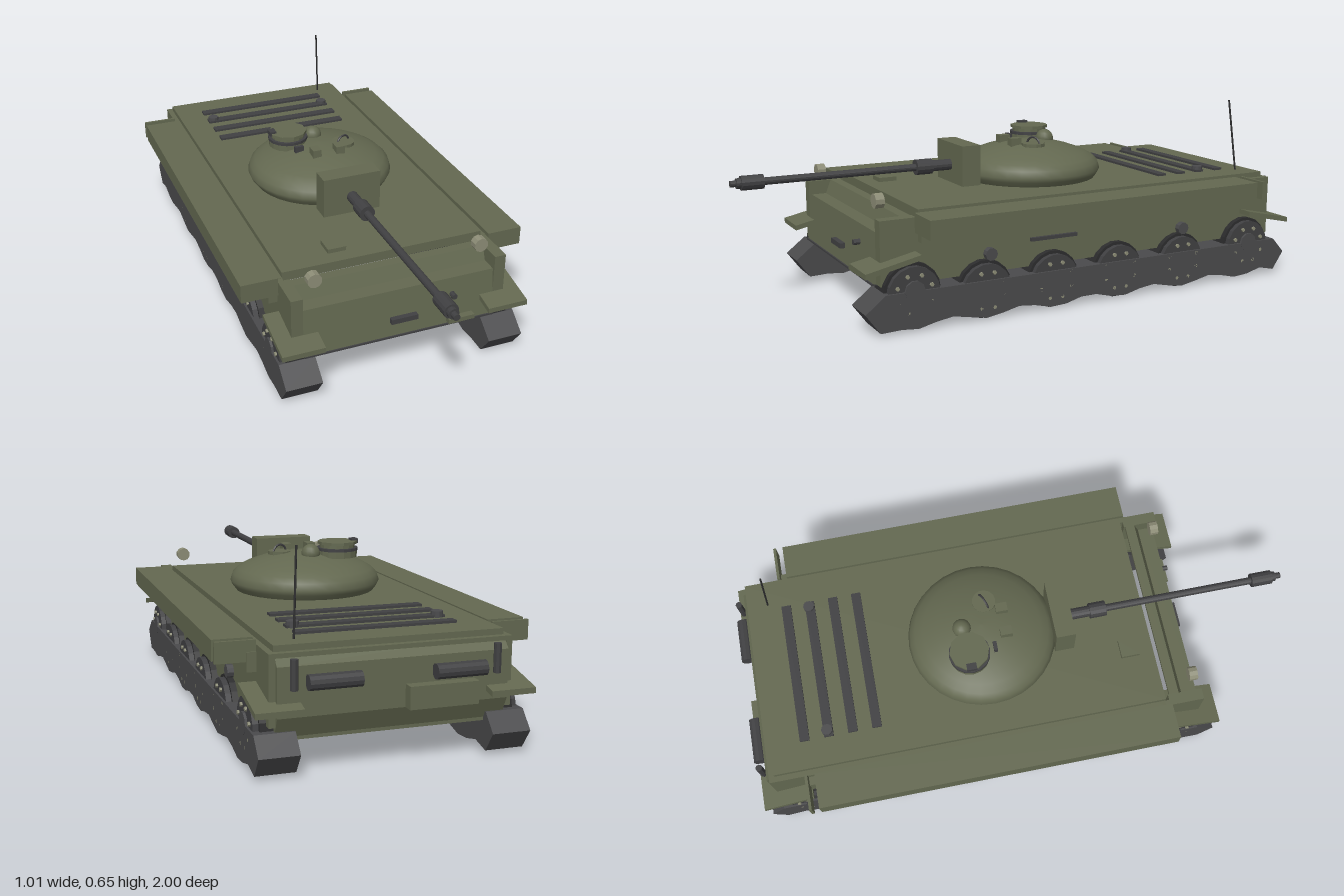
import * as THREE from 'three';

const material = (color, flat = true) =>
  new THREE.MeshStandardMaterial({ color, flatShading: flat, side: THREE.DoubleSide });
const OLIVE = material(0x636850), SMOOTH = material(0x636850, false);
const DARK = material(0x404042), TRACK = material(0x4a4a4c), BLACK = material(0x2c2c2d);
const LAMP = material(0x8c8c76);

export function createModel() {
  const tank = new THREE.Group();
  tank.name = 'tank';

  const add = (name, geometry, mat, x = 0, y = 0, z = 0, parent = tank) => {
    const mesh = new THREE.Mesh(geometry, mat);
    mesh.name = name;
    mesh.position.set(x, y, z);
    parent.add(mesh);
    return mesh;
  };
  // Box given by its limits on each axis
  const box = (name, [x0, x1], [y0, y1], [z0, z1], mat = OLIVE, parent = tank) =>
    add(name, new THREE.BoxGeometry(x1 - x0, y1 - y0, z1 - z0), mat,
      (x0 + x1) / 2, (y0 + y1) / 2, (z0 + z1) / 2, parent);
  // Cylinder along a chosen axis
  const cyl = (name, axis, r, len, x, y, z, mat = DARK, sides = 12, parent = tank) => {
    const g = new THREE.CylinderGeometry(r, r, len, sides);
    if (axis === 'x') g.rotateZ(Math.PI / 2);
    if (axis === 'z') g.rotateX(Math.PI / 2);
    return add(name, g, mat, x, y, z, parent);
  };
  // Outline of [z, y] points extruded between two x limits
  const slab = (name, points, x0, x1, mat = OLIVE, parent = tank) => {
    const shape = new THREE.Shape(points.map(([z, y]) => new THREE.Vector2(-z, y)));
    const g = new THREE.ExtrudeGeometry(shape, { depth: x1 - x0, bevelEnabled: false });
    g.rotateY(Math.PI / 2);
    return add(name, g, mat, x0, 0, 0, parent);
  };

  // Hull: open underneath
  box('deck', [-0.36, 0.36], [0.365, 0.385], [-0.92, 0.49]);
  box('deckEdge', [-0.38, 0.38], [0.352, 0.366], [-0.94, 0.49]);
  slab('rearPlate', [[-0.92, 0.366], [-0.955, 0.33], [-0.955, 0.18], [-0.92, 0.105],
    [-0.905, 0.105], [-0.935, 0.18], [-0.935, 0.32], [-0.91, 0.355]], -0.36, 0.36);
  box('rearLowerPlate', [-0.3, 0.3], [0.105, 0.15], [-0.925, -0.905]);
  // Stepped front made from thin plates
  slab('frontPlate', [[0.51, 0.365], [0.545, 0.365], [0.565, 0.315], [0.62, 0.315], [0.64, 0.15],
    [0.622, 0.15], [0.605, 0.302], [0.552, 0.302], [0.535, 0.352], [0.51, 0.352]], -0.34, 0.34);
  box('frontLowerLip', [-0.34, 0.34], [0.146, 0.152], [0.6, 0.645], DARK);
  box('towSlot', [-0.04, 0.055], [0.203, 0.221], [0.625, 0.65], DARK);
  box('frontStep', [0.165, 0.26], [0.16, 0.176], [0.63, 0.66]);
  cyl('frontPort', 'z', 0.01, 0.03, 0.187, 0.256, 0.635, DARK, 8);

  // Parts repeated on both sides
  for (const s of [1, -1]) {
    const side = new THREE.Group();
    side.name = s > 0 ? 'leftSide' : 'rightSide';
    tank.add(side);
    const sbox = (name, xs, ys, zs, mat) =>
      box(name, s > 0 ? xs : [-xs[1], -xs[0]], ys, zs, mat, side);
    const sslab = (name, pts, x0, x1, mat) =>
      slab(name, pts, s > 0 ? x0 : -x1, s > 0 ? x1 : -x0, mat, side);
    const scyl = (name, axis, r, len, x, y, z, mat, sides) =>
      cyl(name, axis, r, len, s * x, y, z, mat, sides, side);

    sbox('sideWall', [0.36, 0.38], [0.15, 0.365], [-0.94, 0.51]);
    sbox('frontCheek', [0.34, 0.38], [0.15, 0.365], [0.505, 0.63]);
    sbox('fender', [0.38, 0.505], [0.315, 0.38], [-0.78, 0.51]);
    sbox('fenderRail', [0.38, 0.41], [0.285, 0.345], [-0.82, 0.5]);
    sbox('fenderEndPlate', [0.38, 0.505], [0.315, 0.38], [-0.815, -0.805]);
    sslab('frontMudguard', [[0.51, 0.255], [0.7, 0.215], [0.7, 0.197], [0.51, 0.238]], 0.29, 0.435);
    sslab('rearMudguard', [[-0.81, 0.255], [-0.81, 0.238], [-0.995, 0.197], [-0.995, 0.215]], 0.29, 0.435);
    sbox('sideBar', [0.38, 0.392], [0.238, 0.25], [-0.09, 0.09], DARK);
    sbox('sideBox', [0.38, 0.392], [0.29, 0.33], [-0.575, -0.465]);
    for (const z of [0.245, -0.535]) scyl('sidePort', 'x', 0.022, 0.03, 0.386, 0.215, z, TRACK, 10);

    // Headlamp, exhaust pipe, rear post and filler cap
    scyl('headlamp', 'z', 0.025, 0.03, 0.293, 0.412, 0.6, LAMP, 10);
    scyl('exhaust', 'x', 0.024, 0.16, 0.195, 0.285, -0.975, DARK, 12);
    scyl('rearPost', 'y', 0.012, 0.09, 0.315, 0.31, -0.972, DARK, 8);
    scyl('fillerCap', 'y', 0.02, 0.02, 0.238, 0.395, -0.712, TRACK, 10);

    // Track: solid block with a scalloped tread
    const tread = [[-0.94, 0.135], [-0.99, 0.08], [-0.945, 0.015]];
    for (let i = 0; i <= 24; i++) {
      const z = -0.88 + i * 0.06083;
      tread.push([z, 0.02 - 0.012 * Math.cos((z - 0.01) / 0.262 * Math.PI * 2)]);
    }
    tread.push([0.65, 0.012], [0.7, 0.08], [0.63, 0.135]);
    sslab('track', tread, 0.3, 0.425, TRACK);

    // Wheels: the end ones sit higher
    const wheels = [0.53, 0.27, 0.01, -0.25, -0.52, -0.82];
    wheels.forEach((z, i) => {
      const end = i === 0 || i === 5;
      const y = end ? 0.125 : 0.1;
      scyl('wheelTyre', 'x', 0.1, 0.08, 0.36, y, z, BLACK, 18);
      scyl('wheelDisc', 'x', 0.09, 0.112, 0.362, y, z, DARK, 18);
      if (end) scyl('wheelHub', 'x', 0.035, 0.128, 0.362, y + 0.01, z, TRACK, 10);
      for (let k = 0; k < 8; k++) {
        const a = (k + 0.5) * Math.PI / 4;
        scyl('wheelBolt', 'x', 0.007, 0.01, 0.42, y + 0.064 * Math.sin(a), z + 0.064 * Math.cos(a), LAMP, 6);
      }
    });
  }

  // Deck fittings
  for (let i = 0; i < 4; i++) {
    const z = -0.795 + i * 0.086;
    box('engineGrille', [-0.26, 0.26], [0.383, 0.393], [z - 0.017, z + 0.017], DARK);
  }
  box('driverHatch', [-0.18, -0.115], [0.383, 0.4], [0.37, 0.437]);
  box('rearStowageBox', [-0.25, -0.03], [0.18, 0.25], [-0.99, -0.95]);
  const whip = new THREE.LineCurve3(new THREE.Vector3(0.281, 0.38, -0.862), new THREE.Vector3(0.264, 0.652, -0.832));
  add('antenna', new THREE.TubeGeometry(whip, 1, 0.0035, 6), BLACK);

  // Turret dome
  const turret = new THREE.Group();
  turret.name = 'turret';
  turret.position.set(0, 0, -0.11);
  tank.add(turret);
  const profile = [[0.245, 0.383], [0.259, 0.402], [0.266, 0.418], [0.258, 0.442], [0.24, 0.46],
    [0.21, 0.477], [0.16, 0.495], [0.1, 0.51], [0.05, 0.517], [0, 0.519]]
    .map(([r, y]) => new THREE.Vector2(r, y));
  add('turretDome', new THREE.LatheGeometry(profile, 32), SMOOTH, 0, 0, 0, turret);
  box('mantlet', [-0.106, 0.106], [0.386, 0.53], [0.14, 0.21]);

  // Commander's cupola with hatch and ring of vision blocks
  cyl('cupolaBase', 'y', 0.07, 0.024, -0.102, 0.514, -0.17, OLIVE, 16);
  cyl('cupolaBand', 'y', 0.073, 0.01, -0.102, 0.53, -0.17, DARK, 16);
  cyl('cupolaRing', 'y', 0.062, 0.014, -0.102, 0.541, -0.17, OLIVE, 16);
  cyl('cupolaHatch', 'y', 0.07, 0.01, -0.102, 0.552, -0.17, OLIVE, 10);
  box('cupolaSight', [-0.174, -0.15], [0.548, 0.564], [-0.19, -0.155], DARK);
  add('turretVent', new THREE.SphereGeometry(0.033, 14, 10), SMOOTH, 0, 0.518, -0.18);
  for (const x of [-0.045, 0.045]) box('periscope', [x - 0.016, x + 0.016], [0.505, 0.535], [-0.05, -0.008]);
  box('turretStep', [-0.108, -0.075], [0.507, 0.53], [-0.083, -0.07], DARK);
  const handle = add('turretHandle', new THREE.TorusGeometry(0.03, 0.004, 5, 10, Math.PI), DARK, 0.085, 0.509, -0.085);
  handle.rotation.y = 0.4;
  cyl('loaderHatch', 'y', 0.042, 0.012, 0.085, 0.512, -0.085, OLIVE, 14);

  // Gun: stepped tube along z as [radius, start, end]
  const gun = new THREE.Group();
  gun.name = 'gun';
  tank.add(gun);
  [['barrel', 0.013, 0.15, 0.98], ['barrelCollar', 0.02, 0.2, 0.285], ['boreEvacuator', 0.028, 0.285, 0.345],
    ['muzzleBrake', 0.025, 0.89, 0.965], ['muzzleRing', 0.018, 0.965, 0.98], ['muzzleTip', 0.011, 0.98, 1]]
    .forEach(([name, r, z0, z1]) => cyl(name, 'z', r, z1 - z0, 0, 0.45, (z0 + z1) / 2, DARK, 14, gun));

  return tank;
}
